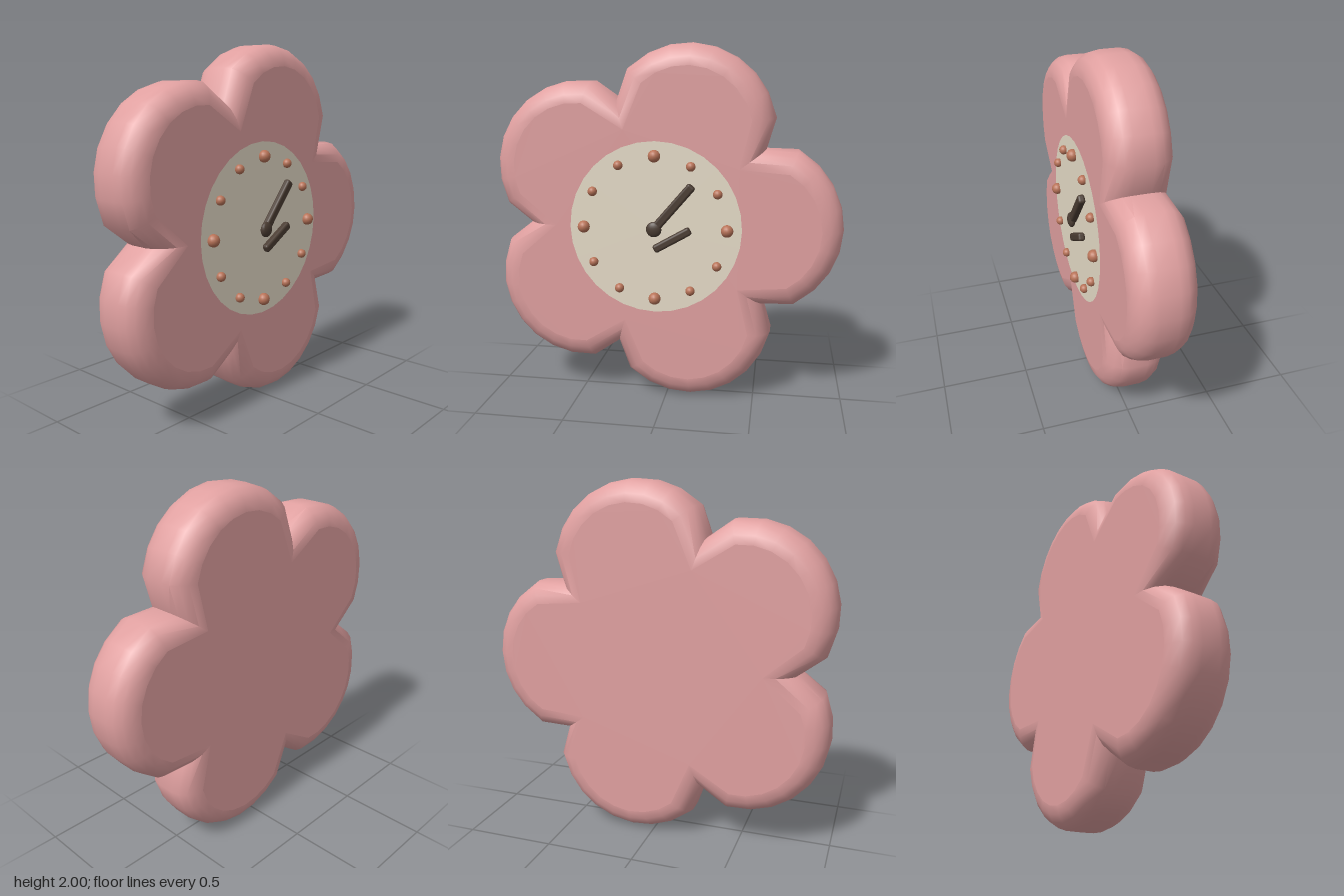
import * as THREE from 'three';
import { toCreasedNormals } from 'three/addons/utils/BufferGeometryUtils.js';
import { RoundedBoxGeometry } from 'three/addons/geometries/RoundedBoxGeometry.js';

const paint = (color) => new THREE.MeshStandardMaterial({ color });
const PINK = paint(0xe0a0a0);
const CREAM = paint(0xe6dcc8);
const COPPER = paint(0xb87358);
const BROWN = paint(0x4a3c32);

const FRONT = 0.14; // z of the flat front of the body
const DEPTH = 0.34;
const BEVEL = 0.12;

function add(parent, name, geometry, material, x = 0, y = 0, z = 0) {
  const mesh = new THREE.Mesh(geometry, material);
  mesh.name = name;
  mesh.position.set(x, y, z);
  parent.add(mesh);
  return mesh;
}

// Five rounded petals with a sharp notch between neighbours
function flowerGeometry() {
  const points = [];
  const petalCentre = 0.545, petalRadius = 0.36, notchRadius = 0.567;
  const step = Math.PI * 2 / 5;
  for (let p = 0; p < 5; p++) {
    const turn = p * step;
    for (let i = -4; i <= 4; i++) {
      const a = turn + i * Math.PI / 12;
      points.push(new THREE.Vector2(
        petalCentre * Math.cos(turn) + petalRadius * Math.cos(a),
        petalCentre * Math.sin(turn) + petalRadius * Math.sin(a)));
    }
    const n = turn + step / 2;
    points.push(new THREE.Vector2(notchRadius * Math.cos(n), notchRadius * Math.sin(n)));
  }
  const extruded = new THREE.ExtrudeGeometry(new THREE.Shape(points), {
    depth: DEPTH - 2 * BEVEL, bevelEnabled: true,
    bevelSize: BEVEL, bevelThickness: BEVEL, bevelSegments: 4,
  });
  extruded.translate(0, 0, FRONT - DEPTH + BEVEL);
  const geometry = toCreasedNormals(extruded, 0.7);

  // Keep the flat front and back shaded flat
  const pos = geometry.attributes.position, normal = geometry.attributes.normal;
  for (let i = 0; i < pos.count; i += 3) {
    const z = pos.getZ(i);
    if (Math.abs(z - pos.getZ(i + 1)) > 1e-4 || Math.abs(z - pos.getZ(i + 2)) > 1e-4) continue;
    for (let k = 0; k < 3; k++) normal.setXYZ(i + k, 0, 0, z > 0 ? 1 : -1);
  }
  return geometry;
}

// A clock hand laid between two points on the face
function addHand(parent, name, x0, y0, x1, y1, width) {
  const length = Math.hypot(x1 - x0, y1 - y0);
  const hand = add(parent, name, new RoundedBoxGeometry(length, width, 0.04, 2, 0.014), BROWN,
    (x0 + x1) / 2, (y0 + y1) / 2, FRONT + 0.022);
  hand.rotation.z = Math.atan2(y1 - y0, x1 - x0);
}

export function createModel() {
  const clock = new THREE.Group();
  clock.name = 'flowerClock';
  clock.position.set(-0.055, 1, 0);

  add(clock, 'flowerBody', flowerGeometry(), PINK);
  add(clock, 'dial', new THREE.CircleGeometry(0.48, 32), CREAM, 0, 0, FRONT + 0.002);

  // Twelve hour beads, larger at the quarters
  const markers = new THREE.Group();
  markers.name = 'hourMarkers';
  clock.add(markers);
  for (let h = 0; h < 12; h++) {
    const a = h * Math.PI / 6;
    const quarter = h % 3 === 0;
    add(markers, quarter ? 'quarterBead' : 'hourBead',
      new THREE.SphereGeometry(quarter ? 0.034 : 0.026, 16, 12), COPPER,
      0.4 * Math.cos(a), 0.4 * Math.sin(a), FRONT + 0.013);
  }

  // Hands and centre hub
  addHand(clock, 'minuteHand', 0, 0, 0.21, 0.245, 0.05);
  addHand(clock, 'hourHand', 0, -0.115, 0.2, 0, 0.046);
  const hub = add(clock, 'hub', new THREE.SphereGeometry(0.043, 16, 12), BROWN, 0, 0, FRONT + 0.03);
  hub.scale.z = 0.5;

  const model = new THREE.Group();
  model.name = 'model';
  model.add(clock);
  return model;
}
